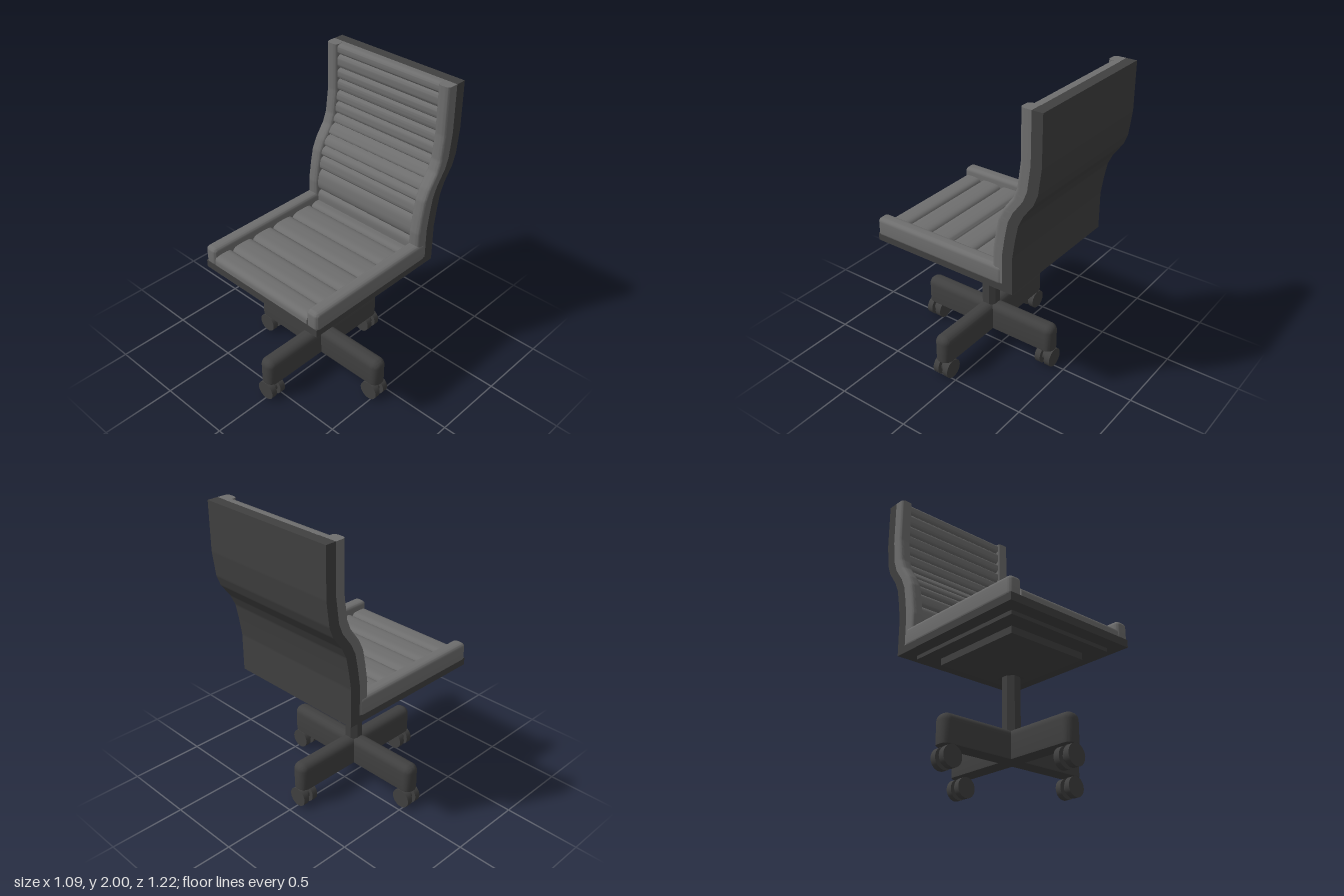
import * as THREE from 'three';
import { toCreasedNormals } from 'three/addons/utils/BufferGeometryUtils.js';
import { RoundedBoxGeometry } from 'three/addons/geometries/RoundedBoxGeometry.js';

const dark = new THREE.MeshStandardMaterial({ color: 0x404040 });
const fabric = new THREE.MeshStandardMaterial({ color: 0x6e6e6e });
const CZ = 0.0875; // z of the pedestal axis

// Front surface of the back shell as [y, z]
const backCurve = [[0.83, -0.357], [1.08, -0.357], [1.2, -0.375], [1.3, -0.395], [1.37, -0.428],
  [1.46, -0.493], [1.53, -0.52], [1.69, -0.54], [2, -0.54]];

function backZ(y) {
  for (let i = 1; i < backCurve.length; i++) {
    const [y0, z0] = backCurve[i - 1], [y1, z1] = backCurve[i];
    if (y <= y1) return z0 + (z1 - z0) * Math.max(0, (y - y0) / (y1 - y0));
  }
  return backCurve[backCurve.length - 1][1];
}

// Applies a rule to every vertex, then rebuilds the normals
function reshape(geo, rule, crease = 0.6) {
  const p = geo.attributes.position, v = new THREE.Vector3();
  for (let i = 0; i < p.count; i++) {
    rule(v.fromBufferAttribute(p, i));
    p.setXYZ(i, v.x, v.y, v.z);
  }
  return toCreasedNormals(geo, crease);
}

const bend = v => { v.z += backZ(v.y); };

// Box with rounded top edges and a flat underside
function roundTopBox(w, h, d, r) {
  const geo = new RoundedBoxGeometry(w, h + 2 * r, d, 4, r);
  geo.translate(0, h / 2 - r, 0);
  return reshape(geo, v => { v.y = Math.max(v.y, -h / 2); });
}

// Row of padded rolls: outline in (z, y), extruded across the width
function rollsGeometry(bounds, toPoint) {
  const pts = [toPoint(bounds[0], 0)];
  for (let i = 1; i < bounds.length; i++) {
    for (let k = 0; k <= 16; k++) {
      const t = -Math.cos(Math.PI * k / 16);
      const s = bounds[i - 1] + (bounds[i] - bounds[i - 1]) * (t + 1) / 2;
      pts.push(toPoint(s, 0.025 + 0.037 * Math.sqrt(Math.max(0, 1 - t ** 4))));
    }
  }
  // return along the backing surface
  const last = bounds[bounds.length - 1];
  for (let k = 0; k < 30; k++) pts.push(toPoint(last + (bounds[0] - last) * k / 30, 0));
  const geo = new THREE.ExtrudeGeometry(new THREE.Shape(pts), { depth: 0.8, bevelEnabled: false });
  geo.rotateY(-Math.PI / 2).translate(0.4, 0, 0);
  return toCreasedNormals(geo, 0.7);
}

export function createModel() {
  const model = new THREE.Group();
  const add = (name, geo, mat, x = 0, y = 0, z = 0, parent = model) => {
    const mesh = new THREE.Mesh(geo, mat);
    mesh.name = name;
    mesh.position.set(x, y, z);
    parent.add(mesh);
    return mesh;
  };

  // Seat and back shells
  add('seatShell', new THREE.BoxGeometry(0.96, 0.05, 0.98), dark, 0, 0.855, 0.12);
  const shell = new THREE.BoxGeometry(0.96, 1.17, 0.07, 1, 117, 1).translate(0, 1.415, -0.035);
  add('backShell', reshape(shell, bend, 0.3), dark);

  // Padded rolls
  add('seatRolls', rollsGeometry([0.608, 0.47, 0.3, 0.125, -0.05, -0.23, -0.357],
    (z, h) => new THREE.Vector2(z, 0.878 + h)), fabric);
  add('backRolls', rollsGeometry(
    [0.88, 1.015, 1.17, 1.265, 1.33, 1.4, 1.47, 1.53, 1.61, 1.685, 1.765, 1.84, 1.93, 2],
    (y, h) => new THREE.Vector2(backZ(y) - 0.002 + h, y)), fabric);

  // Side rails of the seat and back
  const w = 0.0425, d = 0.075, r = 0.03;
  const section = new THREE.Shape();
  section.moveTo(w, 0).lineTo(-w, 0).lineTo(-w, r - d);
  section.quadraticCurveTo(-w, -d, r - w, -d).lineTo(w - r, -d);
  section.quadraticCurveTo(w, -d, w, r - d);
  for (const side of [1, -1]) {
    add('seatRail', roundTopBox(0.09, 0.077, 0.965, 0.028), fabric, side * 0.44, 0.9145, 0.1275);
    const rail = new THREE.ExtrudeGeometry(section,
      { depth: 1.12, steps: 112, bevelEnabled: false, curveSegments: 6 });
    rail.rotateX(-Math.PI / 2).translate(0, 0.88, 0);
    add('backRail', reshape(rail, bend), fabric, side * 0.4375);
  }

  // Mounting plates and tapered bracket under the seat
  add('upperPlate', new THREE.BoxGeometry(0.785, 0.03, 0.865), dark, 0, 0.82, CZ);
  add('lowerPlate', new THREE.BoxGeometry(0.58, 0.047, 0.64), dark, 0, 0.7835, CZ);
  const bracket = reshape(new THREE.BoxGeometry(0.58, 0.105, 0.64), v => {
    if (v.y < 0) { v.x *= 0.19; v.z *= 0.19; }
  }, 0.3);
  add('bracket', bracket, dark, 0, 0.7075, CZ);

  // Column, eight flat sides
  const column = new THREE.CylinderGeometry(0.0595, 0.0595, 0.5, 8).rotateY(Math.PI / 8);
  add('column', toCreasedNormals(column, 0.3), dark, 0, 0.41, CZ);

  // Cross base
  add('sideArms', roundTopBox(1.08, 0.125, 0.112, 0.05), dark, 0, 0.1925, CZ);
  add('frontBackArms', roundTopBox(0.112, 0.125, 1.03, 0.05), dark, 0, 0.1925, CZ);

  // Twin-wheel casters, all rolling sideways
  const disc = (radius, depth) => new THREE.CylinderGeometry(radius, radius, depth, 28).rotateX(Math.PI / 2);
  for (const [x, z] of [[0.48, 0], [-0.48, 0], [0, 0.46], [0, -0.46]]) {
    const caster = new THREE.Group();
    caster.name = 'caster';
    caster.position.set(x, 0.065, CZ + z);
    for (const s of [1, -1]) add('wheel', disc(0.065, 0.04), dark, 0, 0, s * 0.036, caster);
    add('axle', disc(0.035, 0.04), dark, 0, 0, 0, caster);
    add('stem', new THREE.CylinderGeometry(0.015, 0.015, 0.09, 12), dark, 0, 0.04, 0, caster);
    model.add(caster);
  }
  return model;
}
